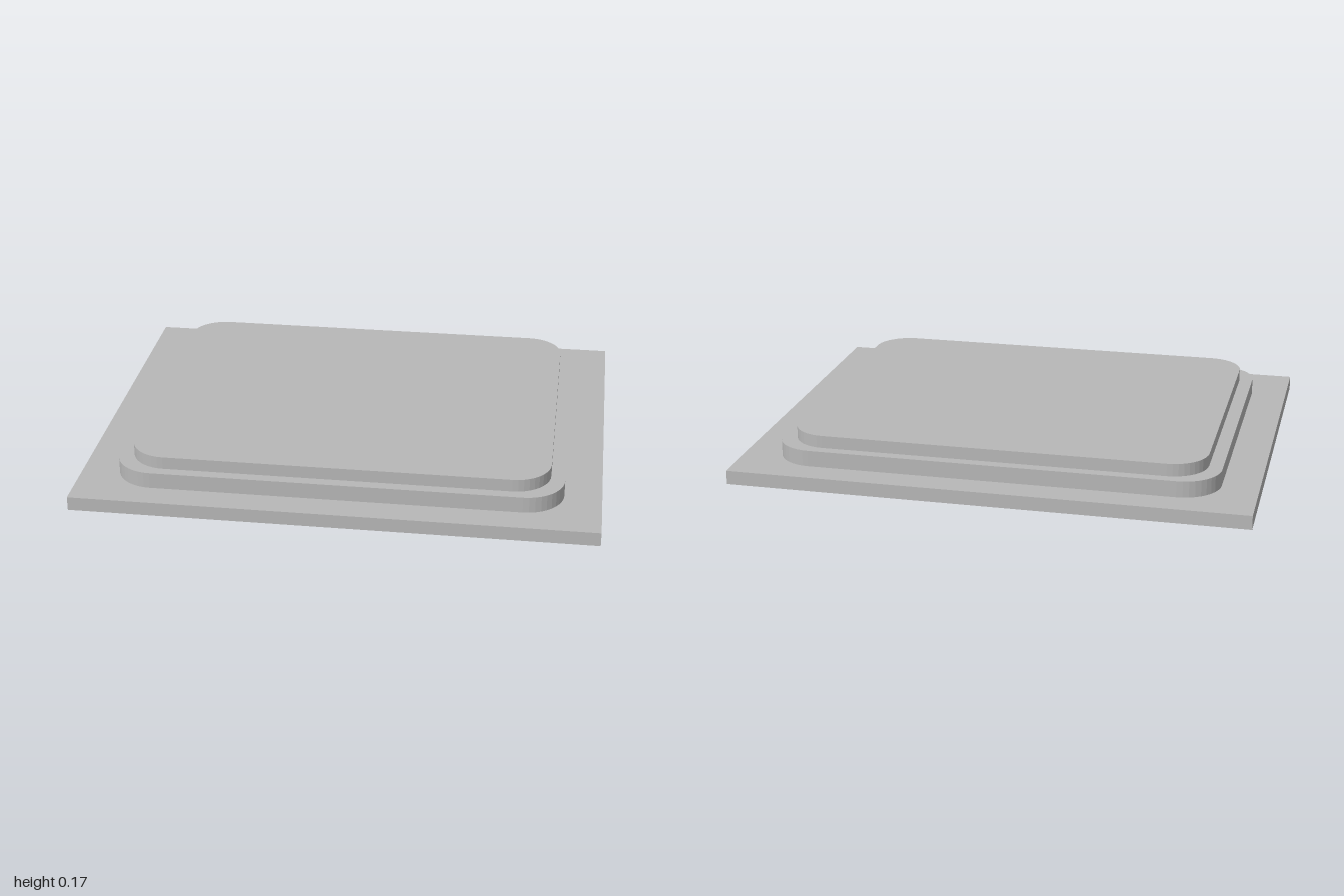
import * as THREE from 'three';

// Rounded-corner slab, lying flat with its underside at y
function roundedSlab(halfX, halfZ, radius, y, height, material) {
  const s = new THREE.Shape();
  const cx = halfX - radius, cz = halfZ - radius;
  s.absarc(cx, cz, radius, 0, Math.PI / 2);
  s.absarc(-cx, cz, radius, Math.PI / 2, Math.PI);
  s.absarc(-cx, -cz, radius, Math.PI, Math.PI * 1.5);
  s.absarc(cx, -cz, radius, Math.PI * 1.5, Math.PI * 2);
  s.closePath();
  const geometry = new THREE.ExtrudeGeometry(s, { depth: height, bevelEnabled: false, curveSegments: 5 });
  geometry.rotateX(-Math.PI / 2);
  geometry.translate(0, y, 0);
  return new THREE.Mesh(geometry, material);
}

export function createModel() {
  const model = new THREE.Group();
  model.name = 'steppedPlate';
  const grey = new THREE.MeshStandardMaterial({ color: 0xb8b8b8 });
  grey.name = 'plainGrey';

  // Square-cornered base
  const base = new THREE.Mesh(new THREE.BoxGeometry(2, 0.054, 1.612), grey);
  base.position.y = 0.027;
  base.name = 'basePlate';

  // Two rounded steps
  const lower = roundedSlab(0.858, 0.692, 0.15, 0.054, 0.063, grey);
  lower.name = 'lowerStep';
  const upper = roundedSlab(0.805, 0.65, 0.14, 0.117, 0.049, grey);
  upper.name = 'upperStep';

  model.add(base, lower, upper);
  return model;
}
